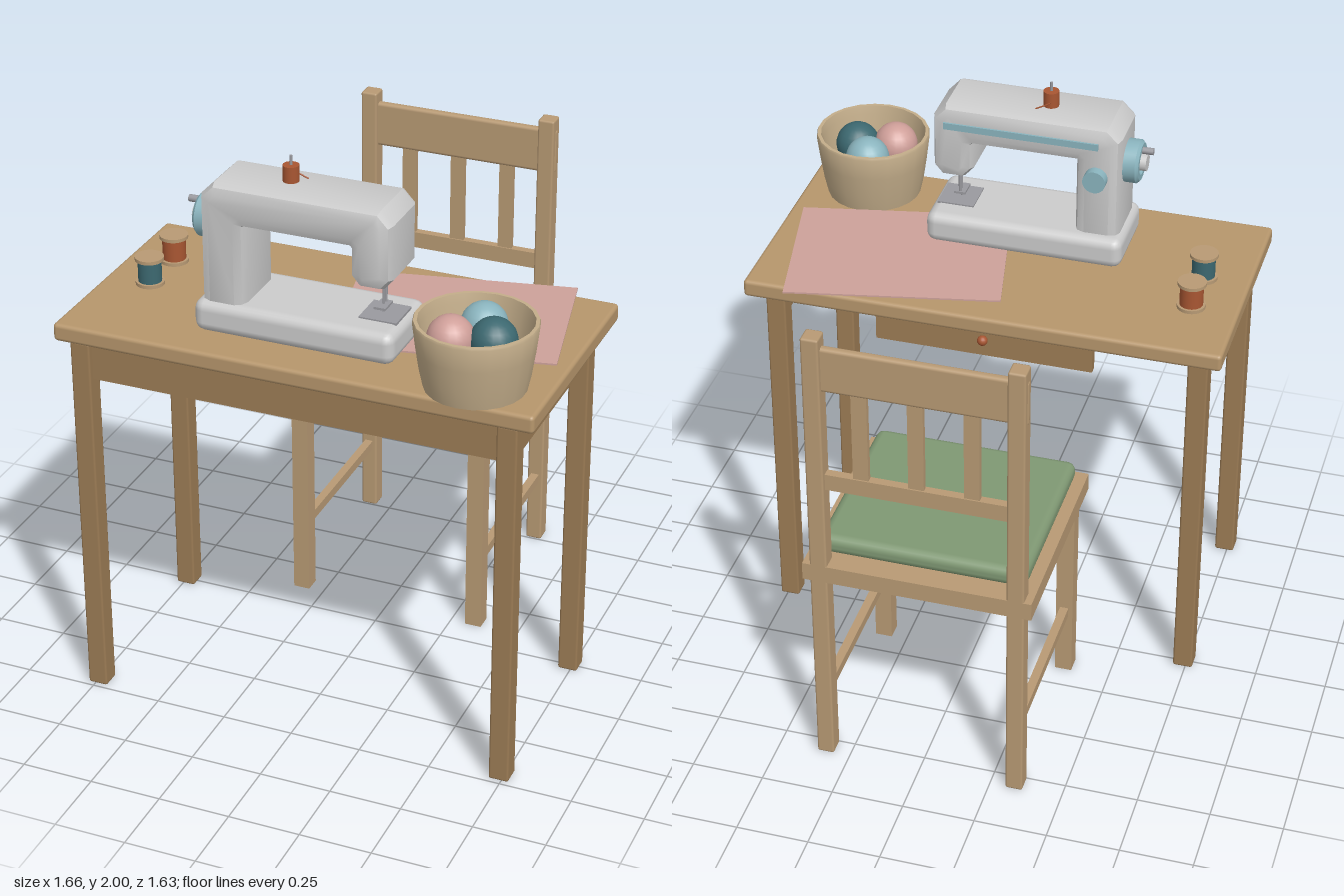
import * as THREE from 'three';
import { toCreasedNormals } from 'three/addons/utils/BufferGeometryUtils.js';
import { RoundedBoxGeometry } from 'three/addons/geometries/RoundedBoxGeometry.js';

const mat = (color, extra = {}) => new THREE.MeshStandardMaterial({ color, ...extra });
const WOOD = mat(0xb89a74), DARKWOOD = mat(0x9c7c55), TOPWOOD = mat(0xb6966c);
const GREEN = mat(0x7f9873), WHITE = mat(0xd8d8d8), STEEL = mat(0x9a9a9f);
const LIGHTBLUE = mat(0x8ab4be), TEAL = mat(0x3c6870), RUST = mat(0xa85632), ROSE = mat(0xcf9f99);
const PINK = mat(0xcda19a, { side: THREE.DoubleSide });
const STRAW = mat(0xc3ad8a, { side: THREE.DoubleSide });

function add(parent, name, geo, material, x = 0, y = 0, z = 0) {
  const m = new THREE.Mesh(geo, material);
  m.name = name;
  m.position.set(x, y, z);
  parent.add(m);
  return m;
}

// Box given by its limits on each axis; r > 0 rounds the edges
function box(parent, name, material, [x0, x1], [y0, y1], [z0, z1], r = 0, seg = 1) {
  const s = [x1 - x0, y1 - y0, z1 - z0];
  const geo = r ? new RoundedBoxGeometry(...s, seg, r) : new THREE.BoxGeometry(...s);
  return add(parent, name, geo, material, (x0 + x1) / 2, (y0 + y1) / 2, (z0 + z1) / 2);
}

function group(parent, name) {
  const g = new THREE.Group();
  g.name = name;
  parent.add(g);
  return g;
}

const cyl = (r, h, n = 20) => new THREE.CylinderGeometry(r, r, h, n);
const tube = (pts, r) => new THREE.TubeGeometry(
  new THREE.CatmullRomCurve3(pts.map(p => new THREE.Vector3(...p))), 16, r, 6);

function buildTable(root) {
  const t = group(root, 'table');
  box(t, 'tableTop', TOPWOOD, [-0.83, 0.83], [1.33, 1.393], [-0.1, 0.745], 0.014, 2);
  for (const s of [-1, 1]) {
    const x = s * 0.74;
    for (const z of [0, 0.7])
      box(t, 'tableLeg', DARKWOOD, [x - 0.035, x + 0.035], [0, 1.335], [z - 0.035, z + 0.035], 0.008);
    box(t, 'sideApron', DARKWOOD, [x - 0.015, x + 0.015], [1.2, 1.33], [0.03, 0.67]);
  }
  box(t, 'frontApron', DARKWOOD, [-0.71, 0.71], [1.2, 1.33], [0.685, 0.715]);
  // Drawer on the sitting side
  box(t, 'drawerFront', DARKWOOD, [-0.38, 0.38], [1.2, 1.33], [-0.03, 0]);
  add(t, 'drawerKnob', new THREE.SphereGeometry(0.018, 14, 10), RUST, 0, 1.265, -0.04);
}

function buildChair(root) {
  const c = group(root, 'chair');
  box(c, 'chairSeat', WOOD, [-0.39, 0.39], [0.75, 0.815], [-0.816, -0.08]);
  box(c, 'cushion', GREEN, [-0.355, 0.355], [0.815, 0.885], [-0.75, -0.105], 0.03, 2);
  for (const s of [-1, 1]) {
    const x = s * 0.335, w = [x - 0.03, x + 0.03];
    box(c, 'frontLeg', WOOD, w, [0, 0.76], [-0.165, -0.105]);
    box(c, 'backPost', WOOD, w, [0, 1.705], [-0.816, -0.752], 0.008);
    box(c, 'stretcher', WOOD, [x - 0.015, x + 0.015], [0.245, 0.28], [-0.76, -0.16]);
  }
  // The top rail passes through the posts
  box(c, 'topRail', WOOD, [-0.368, 0.368], [1.5, 1.665], [-0.798, -0.768], 0.012, 2);
  box(c, 'lowerRail', WOOD, [-0.31, 0.31], [1.12, 1.18], [-0.798, -0.768]);
  for (const x of [-0.185, 0, 0.185])
    box(c, 'backSlat', WOOD, [x - 0.026, x + 0.026], [1.17, 1.51], [-0.793, -0.773]);
}

function buildMachine(root) {
  const m = group(root, 'sewingMachine');
  box(m, 'machineBase', WHITE, [-0.385, 0.31], [1.393, 1.505], [0.312, 0.618], 0.035, 2);

  // Column, arm and head as one bevelled outline
  const b = 0.035;
  const shape = new THREE.Shape([
    [-0.33, 1.5], [-0.33, 1.85], [-0.305, 1.875], [0.235, 1.875], [0.258, 1.85],
    [0.258, 1.69], [0.245, 1.675], [0.2, 1.675], [0.187, 1.69], [0.187, 1.785],
    [0.165, 1.808], [-0.225, 1.808], [-0.245, 1.79], [-0.245, 1.5],
  ].map(p => new THREE.Vector2(...p)));
  const body = new THREE.ExtrudeGeometry(shape, {
    depth: 0.245 - 2 * b, bevelEnabled: true, bevelSize: b, bevelThickness: b, bevelSegments: 2,
  });
  add(m, 'machineBody', toCreasedNormals(body, 0.5), WHITE, 0, 0, 0.35 + b);

  // Handwheel on the right end
  const wheel = group(m, 'handwheel');
  wheel.position.set(-0.365, 1.745, 0.465);
  wheel.rotation.z = Math.PI / 2;
  const rim = [[0, -0.01], [0.065, -0.01], [0.075, 0], [0.075, 0.042], [0.065, 0.052], [0.045, 0.052], [0.04, 0.042], [0, 0.042]];
  add(wheel, 'wheelRim', toCreasedNormals(new THREE.LatheGeometry(rim.map(p => new THREE.Vector2(...p)), 24), 0.6), LIGHTBLUE);
  add(wheel, 'wheelHub', cyl(0.03, 0.03), WHITE, 0, 0.055, 0);
  add(wheel, 'wheelHandle', cyl(0.012, 0.05, 12), STEEL, 0.045, 0.065, 0);

  // Stitch dial and trim strip on the back
  const dial = add(m, 'stitchDial', cyl(0.04, 0.035), LIGHTBLUE, -0.285, 1.725, 0.333);
  dial.rotation.x = Math.PI / 2;
  box(m, 'trimStrip', LIGHTBLUE, [-0.29, 0.25], [1.832, 1.856], [0.343, 0.355]);

  // Needle, presser foot and plate
  add(m, 'needleBar', cyl(0.011, 0.05, 10), STEEL, 0.22, 1.625, 0.465);
  add(m, 'needle', cyl(0.004, 0.13, 8), STEEL, 0.22, 1.57, 0.465);
  add(m, 'presserBar', cyl(0.006, 0.12, 8), STEEL, 0.22, 1.59, 0.445);
  box(m, 'presserFoot', STEEL, [0.2, 0.24], [1.53, 1.538], [0.435, 0.5]);
  box(m, 'needlePlate', STEEL, [0.16, 0.29], [1.5, 1.51], [0.4, 0.53]);

  // Thread spool on its pin
  add(m, 'spoolPin', cyl(0.005, 0.1, 8), STEEL, -0.095, 1.95, 0.467);
  add(m, 'topSpool', cyl(0.027, 0.055), RUST, -0.095, 1.94, 0.467);
  add(m, 'spoolThread', tube([[-0.1, 1.935, 0.44], [-0.08, 1.925, 0.434], [-0.05, 1.911, 0.43]], 0.0025), RUST);
  add(m, 'needleThread', tube([[0.11, 1.775, 0.5], [0.135, 1.76, 0.5], [0.16, 1.735, 0.49]], 0.0025), RUST);
}

function buildSpool(root, z, threadMaterial) {
  const s = group(root, 'threadSpool');
  s.position.set(-0.667, 1.393, z);
  for (const y of [0.006, 0.094]) add(s, 'spoolFlange', cyl(0.049, 0.012, 24), WOOD, 0, y, 0);
  add(s, 'spoolWinding', cyl(0.04, 0.08, 24), threadMaterial, 0, 0.05, 0);
}

function buildBasket(root) {
  const g = group(root, 'yarnBasket');
  g.position.set(0.59, 1.393, 0.613);
  const profile = [[0, 0], [0.165, 0], [0.178, 0.06], [0.19, 0.14], [0.2, 0.222], [0.197, 0.23],
    [0.185, 0.23], [0.178, 0.2], [0.165, 0.1], [0.152, 0.02], [0, 0.02]];
  add(g, 'basket', toCreasedNormals(new THREE.LatheGeometry(profile.map(p => new THREE.Vector2(...p)), 22), 0.6), STRAW);
  for (const [x, z, r, material] of [[-0.005, -0.085, 0.077, LIGHTBLUE], [0.06, 0.005, 0.077, TEAL], [-0.07, 0.04, 0.077, ROSE]])
    add(g, 'yarnBall', new THREE.SphereGeometry(r, 20, 14), material, x, 0.17, z);
}

export function createModel() {
  const root = new THREE.Group();
  root.name = 'sewingTableAndChair';
  buildTable(root);
  buildChair(root);
  buildMachine(root);
  buildSpool(root, 0.17, RUST);
  buildSpool(root, 0.355, TEAL);
  buildBasket(root);

  // Cloth lying askew and overhanging the back edge
  const cloth = add(root, 'fabric', new THREE.BoxGeometry(0.736, 0.006, 0.55), PINK, 0.368, 1.398, 0.206);
  cloth.rotation.y = 0.207;
  return root;
}
